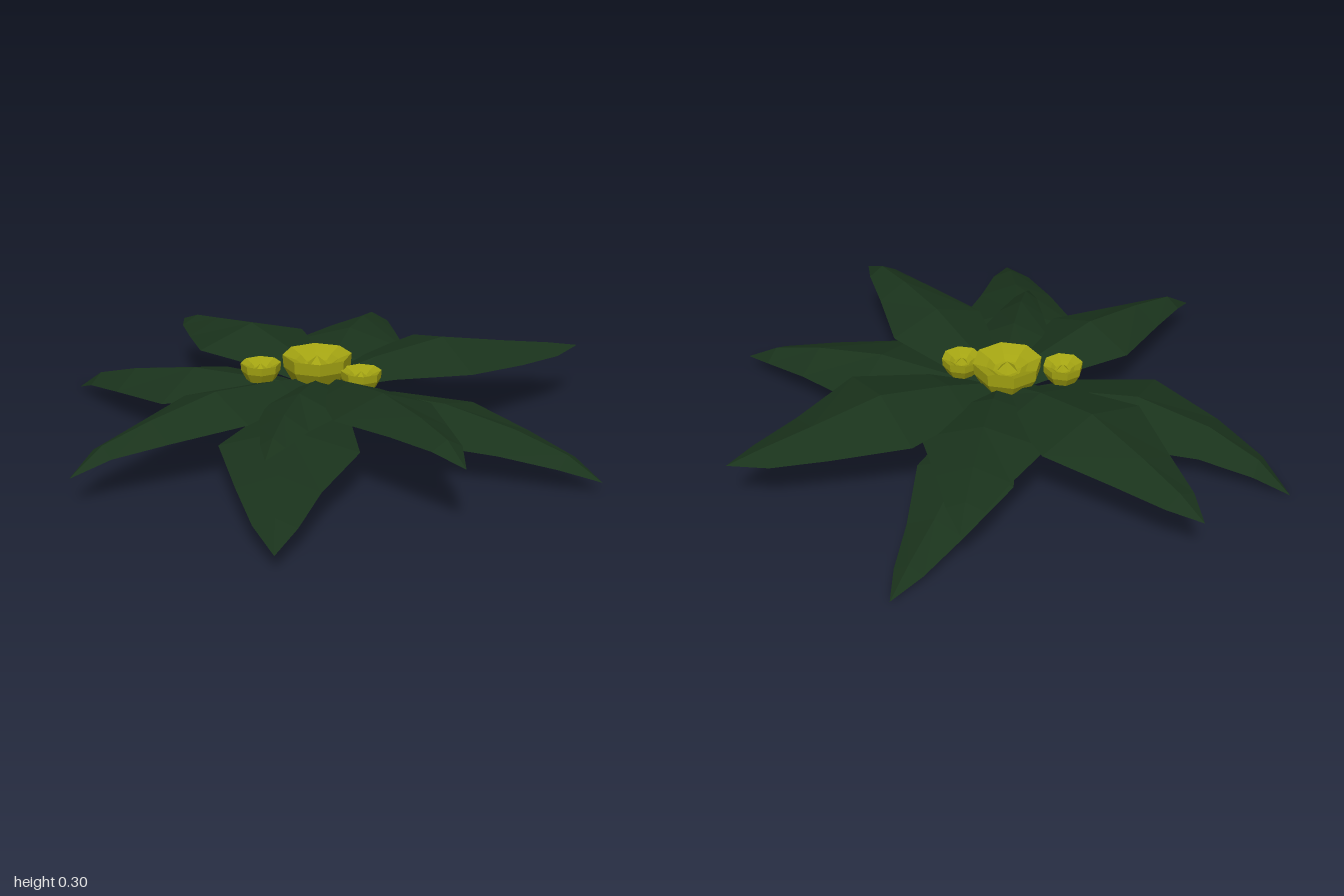
import * as THREE from 'three';

const green = new THREE.MeshStandardMaterial({ color: 0x1a331c, flatShading: true, side: THREE.DoubleSide });
const yellow = new THREE.MeshStandardMaterial({ color: 0xa3a312, flatShading: true, side: THREE.DoubleSide });

// Stations along a leaf: distance, half width and drop of the edge below the midrib
const STATIONS = [0, 0.2, 0.45, 0.7, 0.88, 1];
const WIDTHS = [0.2, 0.62, 1, 0.58, 0.3, 0];
const DROPS = [0.03, 0.04, 0.065, 0.05, 0.03, 0];

// Ridged leaf from the centre to a tip; heights follow the midrib, bow bends it sideways
function makeLeaf({ name, tip, heights, width, bow = 0 }) {
  const [tx, tz] = tip;
  const length = Math.hypot(tx, tz);
  const nx = tz / length, nz = -tx / length;
  const positions = [], index = [];
  STATIONS.forEach((t, i) => {
    for (const side of [-1, 0, 1]) {
      const offset = side * WIDTHS[i] * width + bow * Math.sin(Math.PI * t);
      positions.push(
        tx * t + nx * offset,
        heights[i] - Math.abs(side) * DROPS[i],
        tz * t + nz * offset
      );
    }
    if (i === 0) return;
    for (const col of [0, 1]) {
      const a0 = (i - 1) * 3 + col, a1 = i * 3 + col;
      index.push(a0, a1, a1 + 1, a0, a1 + 1, a0 + 1);
    }
  });
  const geometry = new THREE.BufferGeometry();
  geometry.setAttribute('position', new THREE.Float32BufferAttribute(positions, 3));
  geometry.setIndex(index);
  geometry.computeVertexNormals();
  const leaf = new THREE.Mesh(geometry, green);
  leaf.name = name;
  return leaf;
}

// Eight-sided cup with a hollow top and a small bud inside
function makeFlower(name, x, y, z, radius, height) {
  const profile = [[0, 0], [0.72, 0], [0.97, 0.55], [1, 1], [0.62, 0.8], [0.42, 0.62]]
    .map(([r, h]) => new THREE.Vector2(r * radius, h * height));
  profile.push(new THREE.Vector2(0, 0.55 * height));
  const flower = new THREE.Group();
  flower.name = name;
  const cup = new THREE.Mesh(new THREE.LatheGeometry(profile, 8, Math.PI / 8), yellow);
  cup.name = 'flowerCup';
  const bud = new THREE.Mesh(new THREE.ConeGeometry(radius * 0.36, height * 0.4, 5), yellow);
  bud.name = 'flowerBud';
  bud.position.y = height * 0.75;
  flower.add(cup, bud);
  flower.position.set(x, y, z);
  return flower;
}

export function createModel() {
  const model = new THREE.Group();
  model.name = 'leafyFlower';

  // Upper ring of leaves
  const upper = [
    { name: 'upperLeafBack', tip: [-0.13, -0.96], heights: [0.21, 0.26, 0.295, 0.25, 0.215, 0.17], width: 0.22, bow: 0.02 },
    { name: 'upperLeafBackLeft', tip: [0.54, -0.6], heights: [0.21, 0.25, 0.275, 0.26, 0.23, 0.175], width: 0.21 },
    { name: 'upperLeafLeft', tip: [1, 0.09], heights: [0.21, 0.26, 0.3, 0.255, 0.225, 0.2], width: 0.24 },
    { name: 'upperLeafFront', tip: [-0.01, 0.95], heights: [0.21, 0.25, 0.29, 0.29, 0.275, 0.22], width: 0.18 },
    { name: 'upperLeafFrontRight', tip: [-0.47, 0.52], heights: [0.21, 0.24, 0.26, 0.25, 0.22, 0.175], width: 0.14 },
    { name: 'upperLeafRight', tip: [-1, 0.21], heights: [0.21, 0.24, 0.26, 0.22, 0.18, 0.1], width: 0.18 }
  ];

  // Lower ring, drooping to the ground
  const lower = [
    { name: 'lowerLeafBackRight', tip: [-0.61, -0.84], heights: [0.17, 0.19, 0.2, 0.15, 0.09, 0], width: 0.22, bow: 0.1 },
    { name: 'lowerLeafBackLeft', tip: [0.78, -0.57], heights: [0.17, 0.19, 0.185, 0.12, 0.06, 0], width: 0.17, bow: 0.04 },
    { name: 'lowerLeafFrontLeft', tip: [0.55, 0.88], heights: [0.17, 0.19, 0.2, 0.16, 0.11, 0.04], width: 0.22 },
    { name: 'lowerLeafFrontRight', tip: [-0.62, 0.9], heights: [0.17, 0.19, 0.2, 0.16, 0.11, 0.05], width: 0.23, bow: -0.05 }
  ];
  for (const leaf of [...upper, ...lower]) model.add(makeLeaf(leaf));

  // Flowers at the centre
  model.add(
    makeFlower('largeFlower', -0.025, 0.2, -0.005, 0.12, 0.095),
    makeFlower('smallFlowerBack', -0.2, 0.205, -0.09, 0.07, 0.06),
    makeFlower('smallFlowerFront', 0.07, 0.205, 0.14, 0.07, 0.06)
  );
  return model;
}
